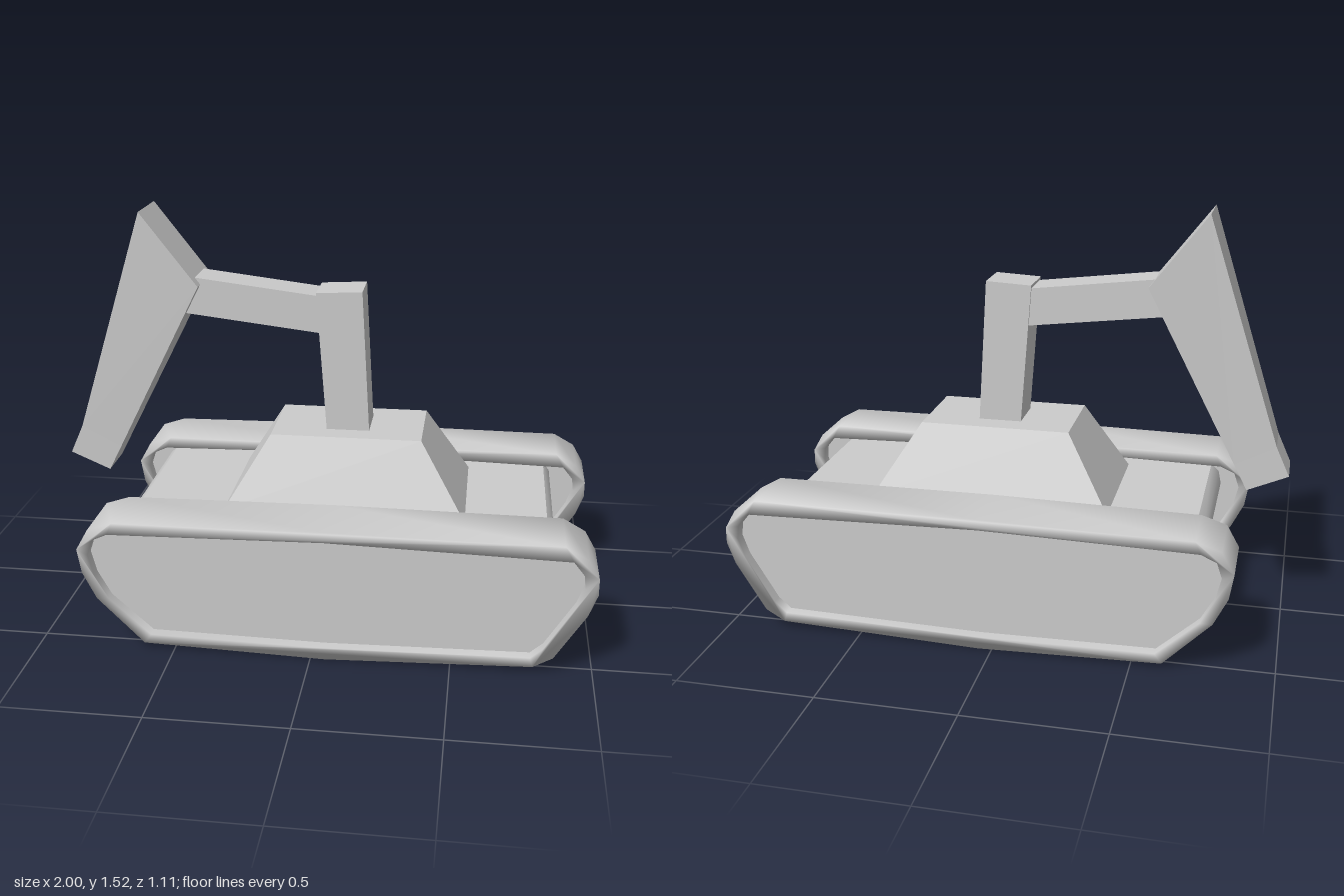
import * as THREE from 'three';
import { mergeVertices, toCreasedNormals } from 'three/addons/utils/BufferGeometryUtils.js';

const smooth = new THREE.MeshStandardMaterial({ color: 0xcccccc });
const flat = new THREE.MeshStandardMaterial({ color: 0xcccccc, flatShading: true });

const toVectors = (points) => points.map(([x, y]) => new THREE.Vector2(x, y));

// Side profile extruded along z, centred on z = 0
function slab(points, depth, hole) {
  const shape = new THREE.Shape(toVectors(points));
  if (hole) shape.holes.push(new THREE.Path(toVectors(hole)));
  const geometry = new THREE.ExtrudeGeometry(shape, { depth, bevelEnabled: false });
  return geometry.translate(0, 0, -depth / 2);
}

// Box reshaped by rows from bottom to top: [left point, right point, half width in z]
function block(rows, zOffset = 0) {
  const geometry = new THREE.BoxGeometry(1, 1, 1, 1, rows.length - 1, 1);
  const p = geometry.attributes.position;
  for (let i = 0; i < p.count; i++) {
    const [left, right, halfWidth] = rows[Math.round((p.getY(i) + 0.5) * (rows.length - 1))];
    const [x, y] = p.getX(i) < 0 ? left : right;
    p.setXYZ(i, x, y, Math.sign(p.getZ(i)) * halfWidth + zOffset);
  }
  geometry.computeVertexNormals();
  return geometry;
}

export function createModel() {
  const model = new THREE.Group();
  const add = (name, geometry, material, parent = model) => {
    const mesh = new THREE.Mesh(geometry, material);
    mesh.name = name;
    parent.add(mesh);
    return mesh;
  };

  // Track belt outline and the opening inside it
  const outer = [
    [-0.61, 0.02], [0.05, 0], [0.79, 0.025], [0.86, 0.065], [0.97, 0.24], [1, 0.32], [1, 0.38],
    [0.96, 0.45], [0.88, 0.495], [0.05, 0.5], [-0.71, 0.49], [-0.8, 0.46], [-0.845, 0.38],
    [-0.83, 0.29], [-0.78, 0.19],
  ];
  const inner = [
    [-0.585, 0.055], [0.05, 0.045], [0.78, 0.06], [0.825, 0.1], [0.93, 0.27], [0.955, 0.34],
    [0.95, 0.39], [0.91, 0.44], [0.05, 0.46], [-0.73, 0.445], [-0.785, 0.42], [-0.805, 0.36],
    [-0.785, 0.28], [-0.735, 0.19],
  ];
  const ring = slab(outer, 0.24, inner);
  ring.deleteAttribute('uv');
  ring.deleteAttribute('normal');
  const belt = mergeVertices(ring, 1e-4);
  belt.computeVertexNormals();
  const panel = slab(inner, 0.16);

  for (const [name, side] of [['frontTrack', 1], ['backTrack', -1]]) {
    const track = new THREE.Group();
    track.name = name;
    track.position.z = side * 0.433;
    add('trackBelt', belt, smooth, track);
    add('trackPanel', panel, flat, track);
    model.add(track);
  }

  // Hull between the tracks
  const hull = slab([
    [-0.58, 0.11], [0.74, 0.11], [0.78, 0.16], [0.84, 0.28], [0.86, 0.36], [0.855, 0.41],
    [0.83, 0.44], [-0.69, 0.44], [-0.72, 0.41], [-0.73, 0.36], [-0.71, 0.28], [-0.63, 0.16],
  ], 0.72);
  add('hull', toCreasedNormals(hull, 0.75), smooth);

  // Tapered turret
  add('turret', block([
    [[-0.365, 0.44], [0.53, 0.44], 0.272],
    [[-0.2, 0.71], [0.36, 0.71], 0.17],
  ]), flat);

  // Arm: upright post, boom and scoop
  const arm = new THREE.Group();
  arm.name = 'arm';
  model.add(arm);
  add('post', block([
    [[0, 0.7], [0.16, 0.7], 0.083],
    [[-0.04, 1.233], [0.13, 1.242], 0.083],
  ], 0.003), flat, arm);
  add('boom', block([
    [[-0.53, 1.14], [-0.02, 1.08], 0.075],
    [[-0.49, 1.275], [-0.03, 1.22], 0.075],
  ], 0.003), flat, arm);
  add('scoop', block([
    [[-1, 0.57], [-0.85, 0.505], 0.083],
    [[-0.95, 0.68], [-0.8, 0.603], 0.085],
    [[-0.68, 1.52], [-0.47, 1.25], 0.113],
  ], 0.007), flat, arm);

  return model;
}
